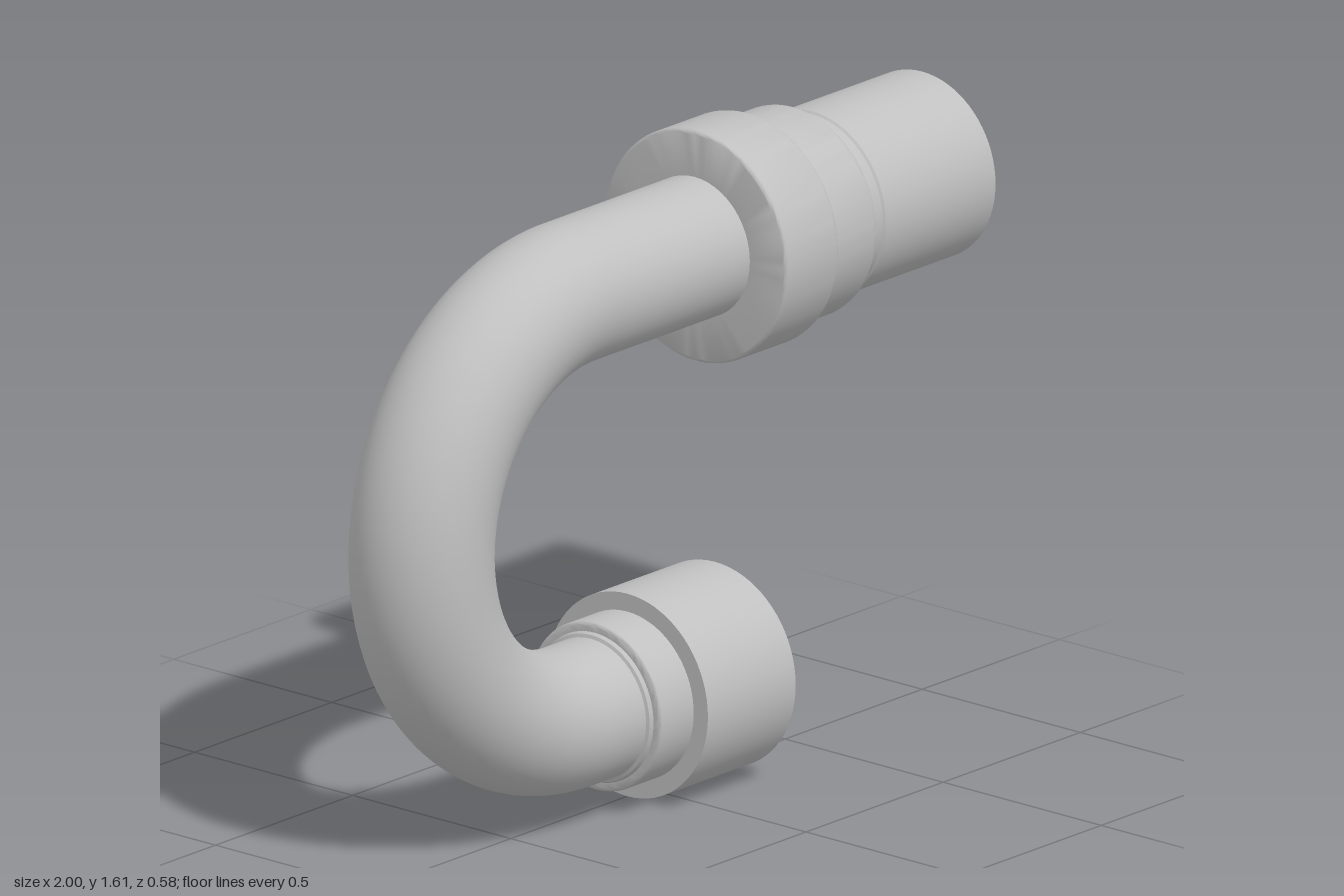
import * as THREE from 'three';
import { toCreasedNormals } from 'three/addons/utils/BufferGeometryUtils.js';

const LOW = 0.255, HIGH = 1.323;          // heights of the two pipe axes
const BEND_X = -0.291, BEND_Y = (LOW + HIGH) / 2, BEND_R = (HIGH - LOW) / 2;

// Straight run, half-circle bend, straight run back, at constant speed
class ReturnPath extends THREE.Curve {
  constructor(upperEnd, lowerEnd) {
    super();
    this.upper = upperEnd - BEND_X;
    this.lower = lowerEnd - BEND_X;
  }
  getPoint(t, target = new THREE.Vector3()) {
    const arc = Math.PI * BEND_R;
    const s = t * (this.upper + arc + this.lower);
    if (s < this.upper) return target.set(BEND_X + this.upper - s, HIGH, 0);
    if (s > this.upper + arc) return target.set(BEND_X + s - this.upper - arc, LOW, 0);
    const a = Math.PI / 2 + (s - this.upper) / BEND_R;
    return target.set(BEND_X + BEND_R * Math.cos(a), BEND_Y + BEND_R * Math.sin(a), 0);
  }
}

// Rounded convex corner on a profile of [x, radius]; from/to are angles in degrees
function round(x, r, f, from, to) {
  const cx = from > 90 ? x + f : x - f;
  return Array.from({ length: 5 }, (_, i) => {
    const a = THREE.MathUtils.degToRad(from + (to - from) * i / 4);
    return [cx + f * Math.cos(a), r - f + f * Math.sin(a)];
  });
}

// Turned part whose axis runs along x
function turned(name, profile, y, material) {
  const points = profile.map(([x, r]) => new THREE.Vector2(r, x));
  const geometry = new THREE.LatheGeometry(points, 72);
  geometry.rotateZ(-Math.PI / 2);
  const mesh = new THREE.Mesh(toCreasedNormals(geometry, 0.6), material);
  mesh.name = name;
  mesh.position.y = y;
  return mesh;
}

export function createModel() {
  const group = new THREE.Group();
  group.name = 'returnPipe';
  const metal = new THREE.MeshStandardMaterial({ color: 0xc0c0c0, side: THREE.DoubleSide });
  metal.name = 'grey metal';

  // Outer pipe wall and the hollow bore inside it
  const tubes = [
    ['pipe', 0.175, 0.2, -0.17],
    ['pipeBore', 0.148, 0.97, 0.08],
  ];
  for (const [name, radius, upperEnd, lowerEnd] of tubes) {
    const path = new ReturnPath(upperEnd, lowerEnd);
    const mesh = new THREE.Mesh(new THREE.TubeGeometry(path, 110, radius, 48), metal);
    mesh.name = name;
    group.add(mesh);
  }

  // Upper fitting: stepped collar, spigot, and an annular channel around the bore
  group.add(turned('upperFitting', [
    [0.17, 0.17],
    ...round(0.17, 0.29, 0.01, 180, 90),
    ...round(0.37, 0.29, 0.018, 90, 0),
    [0.37, 0.262],
    ...round(0.54, 0.262, 0.018, 90, 0),
    [0.54, 0.227], [0.595, 0.227], [0.6, 0.232],
    [1, 0.232], [1, 0.222],
    [0.93, 0.203], [0.93, 0.17],
    [0.975, 0.168], [0.98, 0.163], [0.98, 0.155], [0.97, 0.148],
  ], HIGH, metal));

  // Lower fitting: sleeve and open cup with a ring-shaped floor
  group.add(turned('lowerFitting', [
    [-0.21, 0.17], [-0.205, 0.183], [-0.195, 0.187],
    ...round(-0.195, 0.21, 0.01, 180, 90),
    [-0.075, 0.21], [-0.075, 0.255],
    [0.245, 0.255], [0.245, 0.248],
    [0.105, 0.238], [0.105, 0.162],
    [0.08, 0.16], [0.08, 0.148],
  ], LOW, metal));

  return group;
}
